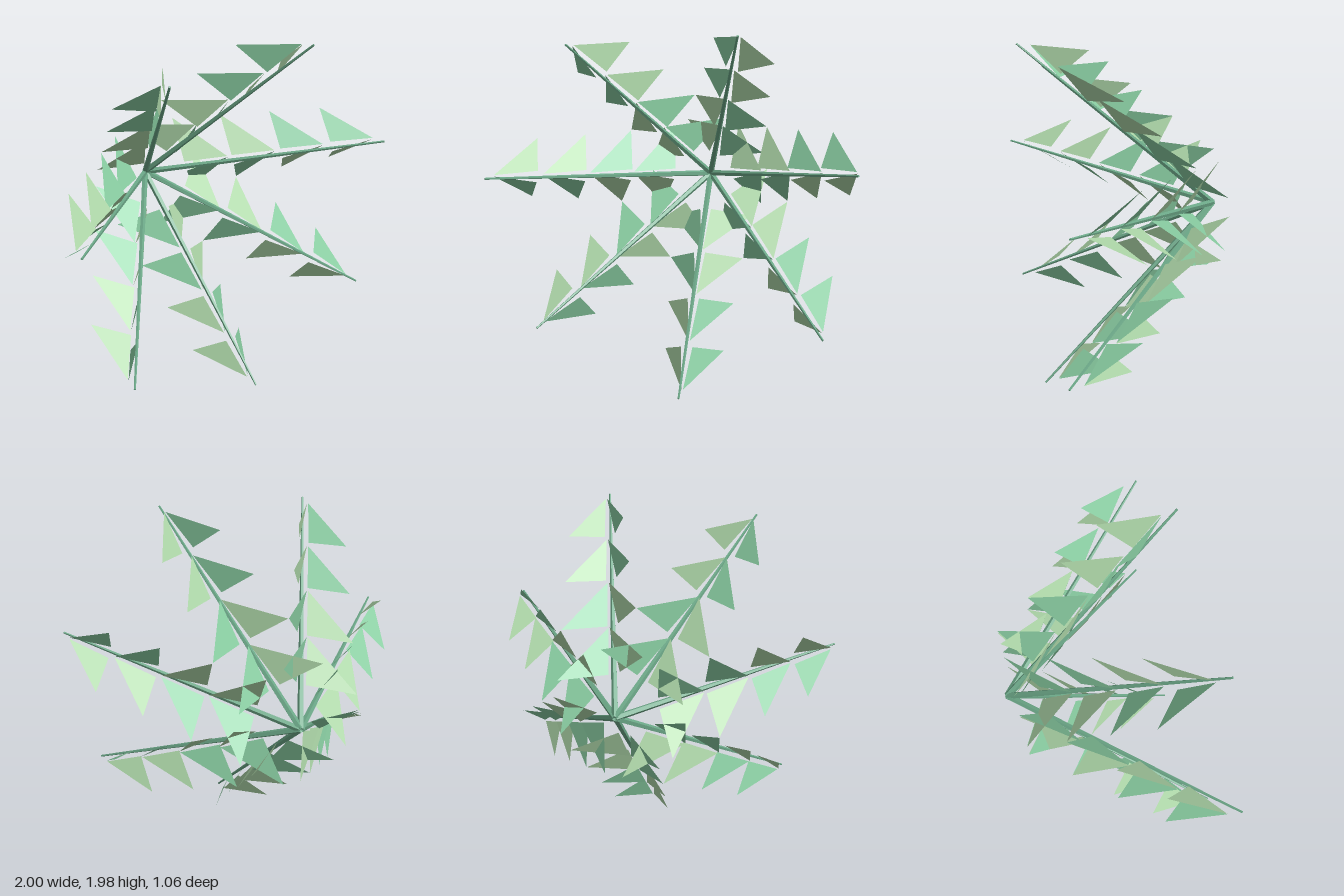
import * as THREE from 'three';

const STEMS = 7, PAIRS = 4;
const HUB = new THREE.Vector3(0.014, 1.03, -0.52);
const REACH = 1.025, DEPTH = 1.04; // outward and forward run of each stem

const paint = (color) => new THREE.MeshStandardMaterial({ color, flatShading: true, side: THREE.DoubleSide });
const stemGreen = paint(0x6ca888), coolGreen = paint(0x88cba0), paleGreen = paint(0xadd6a8);

// Straight tapered stem, drawn in its own frame: x = outward, y = sideways, z = forward
function makeStem() {
  const end = new THREE.Vector3(REACH, 0, DEPTH);
  const geo = new THREE.CylinderGeometry(0.006, 0.019, end.length(), 5);
  geo.translate(0, end.length() / 2, 0);
  geo.applyQuaternion(new THREE.Quaternion().setFromUnitVectors(new THREE.Vector3(0, 1, 0), end.normalize()));
  const stem = new THREE.Mesh(geo, stemGreen);
  stem.name = 'stem';
  return stem;
}

// Flat triangular leaflet swept back from the stem, wider towards the hub
function makeLeaflet(side, i) {
  const outer = [1.012, side * 0.004, 0.96];
  const inner = [0.82 - 0.008 * i, side * 0.034, 0.81];
  const tip = [0.905 - 0.008 * i, side * (0.177 + 0.026 * i), 0.66];
  const corners = side > 0 ? [outer, tip, inner] : [outer, inner, tip];
  const geo = new THREE.BufferGeometry();
  geo.setAttribute('position', new THREE.Float32BufferAttribute(corners.flat(), 3));
  geo.computeVertexNormals();
  const leaflet = new THREE.Mesh(geo, (i < 2) === (side > 0) ? coolGreen : paleGreen);
  leaflet.name = side > 0 ? 'leafletLeft' : 'leafletRight';
  leaflet.position.set(-0.204 * i, 0, -0.208 * i);
  return leaflet;
}

// One frond: a stem with evenly spaced pairs of leaflets
function makeFrond() {
  const frond = new THREE.Group();
  frond.add(makeStem());
  for (let i = 0; i < PAIRS; i++) {
    for (const side of [1, -1]) frond.add(makeLeaflet(side, i));
  }
  return frond;
}

export function createModel() {
  const model = new THREE.Group();
  model.name = 'fern';
  // Fronds spread evenly in a cone around the hub
  for (let i = 0; i < STEMS; i++) {
    const frond = makeFrond();
    frond.name = 'frond' + (i + 1);
    frond.position.copy(HUB);
    frond.rotation.z = THREE.MathUtils.degToRad(17.1) + (i * Math.PI * 2) / STEMS;
    model.add(frond);
  }
  return model;
}
